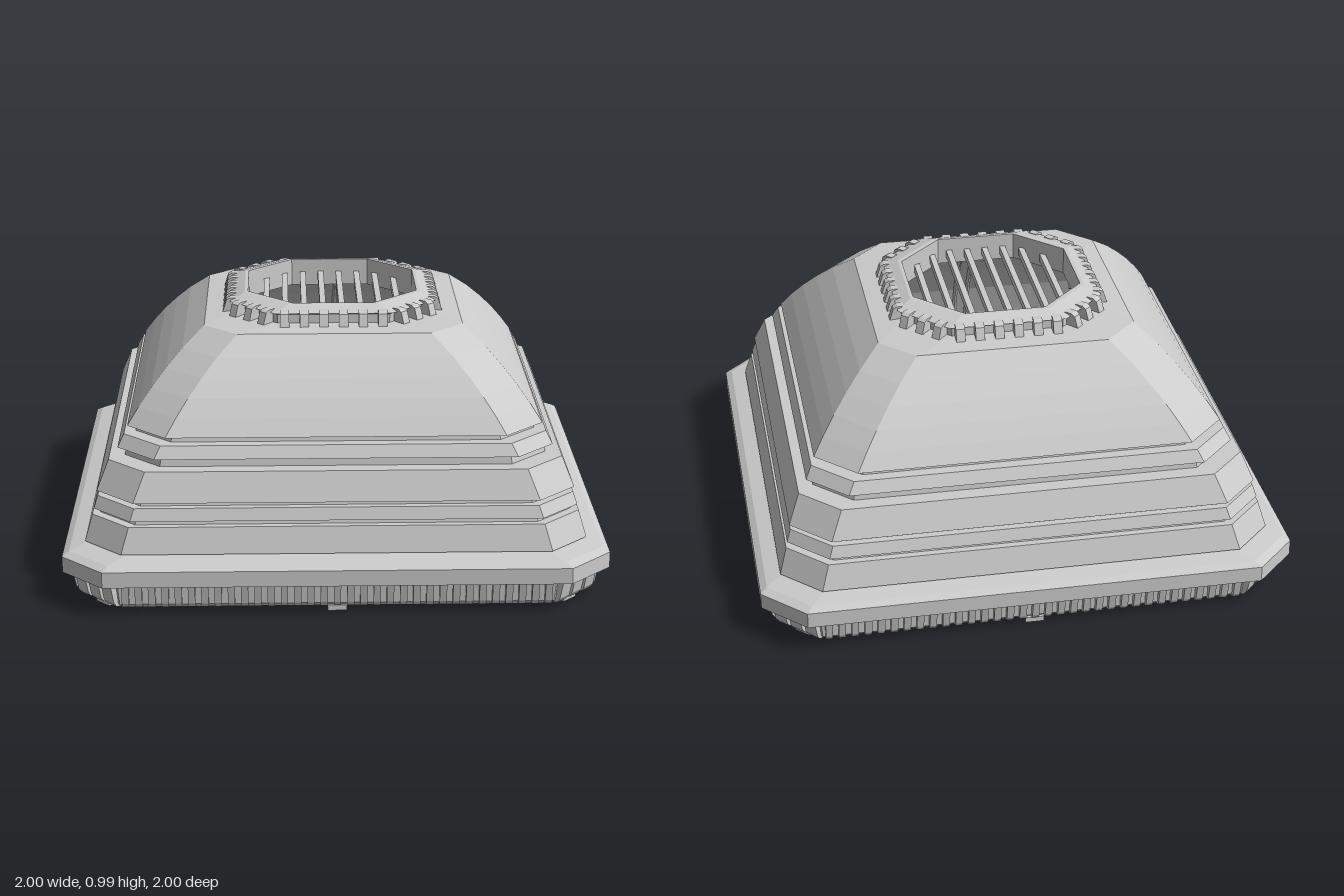
import * as THREE from 'three';
import { mergeGeometries } from 'three/addons/utils/BufferGeometryUtils.js';

const flat = new THREE.MeshStandardMaterial({ color: 0xcccccc, flatShading: true, side: THREE.DoubleSide });
const STRAIGHT = [0, 2, 4, 6], CORNERS = [1, 3, 5, 7], ALL = [...STRAIGHT, ...CORNERS];

// Square ring of half-width h whose corners are cut by c; n > 1 rounds the cut
function ring([h, y, c], n) {
  const pts = [];
  for (let k = 0; k < 4; k++) {
    for (let i = 0; i <= n; i++) {
      const a = (i / n) * Math.PI / 2, r = k * Math.PI / 2;
      const x = h - c + c * Math.cos(a), s = h - c + c * Math.sin(a);
      pts.push([x * Math.cos(r) - s * Math.sin(r), y, -(x * Math.sin(r) + s * Math.cos(r))]);
    }
  }
  return pts;
}

// Skin over a stack of rings [halfWidth, y, cornerCut]; outward when listed upwards
function skin(profile, n = 1) {
  const rings = profile.map((p) => ring(p, n)), pos = [];
  for (let j = 0; j < rings.length - 1; j++) {
    const a = rings[j], b = rings[j + 1], m = a.length;
    for (let i = 0; i < m; i++) {
      const k = (i + 1) % m;
      pos.push(...a[i], ...a[k], ...b[k], ...a[i], ...b[k], ...b[i]);
    }
  }
  const g = new THREE.BufferGeometry();
  g.setAttribute('position', new THREE.Float32BufferAttribute(pos, 3));
  g.computeVertexNormals();
  return g;
}

// Copies of a geometry spaced evenly along the chosen sides of a cut square
function alongSides(geo, sides, h, c, y, spacing) {
  const out = [];
  for (const k of sides) {
    const diagonal = k % 2 === 1;
    const len = diagonal ? c * Math.SQRT2 : 2 * (h - c);
    const dist = diagonal ? (2 * h - c) / Math.SQRT2 : h;
    const count = Math.max(1, Math.round(len / spacing));
    for (let i = 0; i < count; i++) {
      const t = ((i + 0.5) / count - 0.5) * len;
      out.push(geo.clone().translate(dist, y, t).rotateY(k * Math.PI / 4));
    }
  }
  return mergeGeometries(out);
}

// Upright block whose side profile [out, up] is extruded to a centred width
function profileBlock(points, width) {
  const shape = new THREE.Shape(points.map(([x, y]) => new THREE.Vector2(x, y)));
  return new THREE.ExtrudeGeometry(shape, { depth: width, bevelEnabled: false }).translate(0, 0, -width / 2);
}

export function createModel() {
  const model = new THREE.Group();
  const add = (name, geo) => {
    const mesh = new THREE.Mesh(geo, flat);
    mesh.name = name;
    model.add(mesh);
  };

  // Base rim with overhanging lip
  add('baseRim', skin([
    [0.78, 0.012, 0.17], [0.92, 0.012, 0.15], [0.938, 0.03, 0.15], [0.945, 0.12, 0.15],
    [1.0, 0.12, 0.155], [1.0, 0.18, 0.155], [0.975, 0.195, 0.15], [0.9, 0.21, 0.14],
  ]));

  // Grip ribs below the lip, and broader blocks on the cut corners
  const ribProfile = [[-0.02, 0.018], [0.005, 0.022], [0.018, 0.04], [0.035, 0.12], [-0.02, 0.12]];
  add('gripRibs', alongSides(profileBlock(ribProfile, 0.026), STRAIGHT, 0.94, 0.15, 0, 0.048));
  add('cornerGrips', alongSides(profileBlock(ribProfile, 0.055), CORNERS, 0.94, 0.15, 0, 0.07));

  // Small feet at the middles and corners
  add('feet', alongSides(new THREE.BoxGeometry(0.06, 0.02, 0.07), ALL, 0.91, 0.15, 0.01, 9));

  // Stepped shell: lower bands separated by grooves
  const grooved = [[0.895, 0.205, 0.135]];
  const bands = [ // bottom y, half-width, top y, half-width, groove half-width, groove top y
    [0.215, 0.92, 0.31, 0.892, 0.865, 0.33],
    [0.33, 0.887, 0.375, 0.872, 0.845, 0.395],
    [0.395, 0.875, 0.5, 0.832, 0.775, 0.535],
    [0.535, 0.8, 0.58, 0.777, 0.735, 0.605],
  ];
  for (const [y0, h0, y1, h1, g, yTop] of bands) {
    grooved.push([h0, y0, 0.14], [h1, y1, 0.14], [g, y1, 0.135], [g - 0.005, yTop, 0.135]);
  }
  add('lowerBands', skin(grooved));

  // Curved upper hood and its flat roof
  add('upperHood', skin([
    [0.73, 0.605, 0.135], [0.765, 0.605, 0.145], [0.724, 0.665, 0.142], [0.678, 0.725, 0.139],
    [0.625, 0.785, 0.135], [0.565, 0.845, 0.13], [0.485, 0.912, 0.125], [0.375, 0.922, 0.165], [0.325, 0.922, 0.17],
  ]));

  // Octagonal collar around the top opening, ringed with teeth
  add('topCollar', skin([
    [0.375, 0.915, 0.165], [0.375, 0.955, 0.165], [0.39, 0.962, 0.17],
    [0.335, 0.985, 0.17], [0.322, 0.985, 0.17], [0.322, 0.88, 0.17],
  ]));
  const toothProfile = [[-0.02, -0.03], [0.04, -0.03], [0.025, 0.018], [0.01, 0.027], [-0.02, 0.027]];
  add('collarTeeth', alongSides(profileBlock(toothProfile, 0.034), ALL, 0.38, 0.16, 0.945, 0.07));

  // Smooth inner lining, from the bottom opening to the collar
  const lining = [
    [0.322, 0.88], [0.43, 0.855], [0.535, 0.785], [0.62, 0.69], [0.685, 0.57],
    [0.735, 0.43], [0.765, 0.28], [0.78, 0.14], [0.78, 0.012],
  ];
  add('innerLining', skin(lining.map(([h, y]) => [h, y, 0.17]), 3));

  // Paired strengthening ribs inside, on the side middles and corners
  const innerRibs = [];
  for (let k = 0; k < 8; k++) {
    for (const off of [-0.025, 0.025]) {
      const path = lining.map(([h, y]) => {
        const d = k % 2 ? h * Math.SQRT2 - 0.17 * (Math.SQRT2 - 1) : h;
        return new THREE.Vector3(d - 0.004, y, off);
      });
      innerRibs.push(new THREE.TubeGeometry(new THREE.CatmullRomCurve3(path), 20, 0.008, 4).rotateY(k * Math.PI / 4));
    }
  }
  add('innerRibs', mergeGeometries(innerRibs));

  // Grille slats across the opening
  const slats = [];
  for (let i = 0; i < 8; i++) {
    const x = (i - 3.5) * 0.072;
    const half = Math.min(0.322, 0.322 + 0.152 - Math.abs(x));
    slats.push(new THREE.BoxGeometry(0.023, 0.03, 2 * half).translate(x, 0.92, 0));
  }
  add('grilleSlats', mergeGeometries(slats));

  return model;
}
